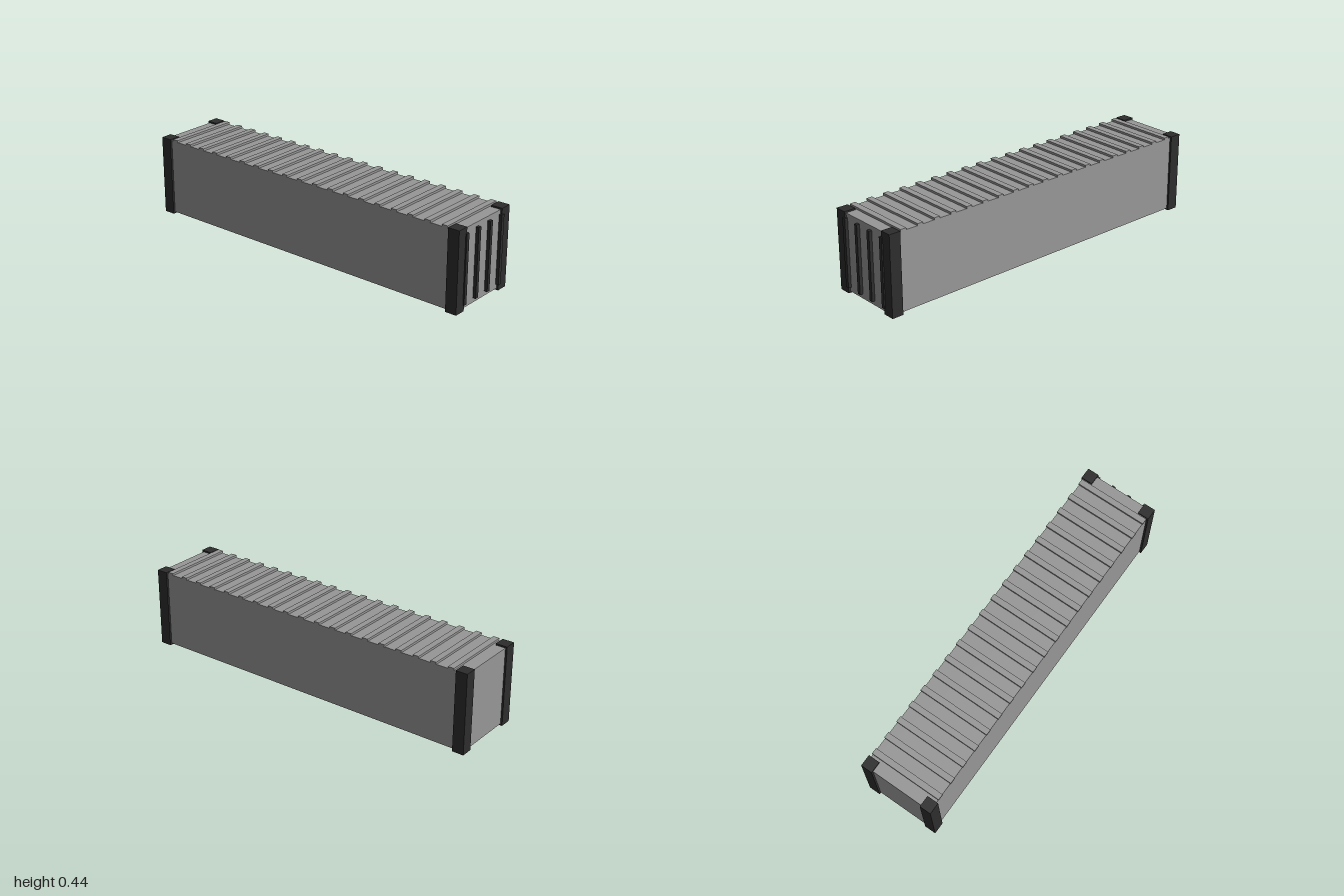
import * as THREE from 'three';

export function createModel() {
  const model = new THREE.Group();
  model.name = 'container';

  const grey = new THREE.MeshStandardMaterial({ color: 0x979797 });
  grey.name = 'panel grey';
  const dark = new THREE.MeshStandardMaterial({ color: 0x2d2d2d });
  dark.name = 'frame charcoal';

  // Box given by its size and centre
  function box(name, material, [w, h, d], [x, y, z]) {
    const mesh = new THREE.Mesh(new THREE.BoxGeometry(w, h, d), material);
    mesh.name = name;
    mesh.position.set(x, y, z);
    model.add(mesh);
  }

  // The shell sits slightly back, as the door bars project at the front
  const midZ = -0.0035;
  box('body', grey, [0.4, 0.422, 1.973], [0, 0.22, midZ]);

  // Corner posts, proud of the body on every side
  for (const sx of [-1, 1]) {
    for (const sz of [-1, 1]) {
      box('cornerPost', dark, [0.064, 0.44, 0.064], [sx * 0.179, 0.22, midZ + sz * 0.9645]);
    }
  }

  // Roof ribs
  for (let i = -9; i <= 9; i++) {
    box('roofRib', grey, [0.407, 0.013, 0.033], [0, 0.4365, i * 0.1005]);
  }

  // Vertical door bars on the front
  for (let i = 0; i < 4; i++) {
    box('doorBar', dark, [0.02, 0.374, 0.02], [-0.147 + i * 0.098, 0.221, 0.99]);
  }

  return model;
}
